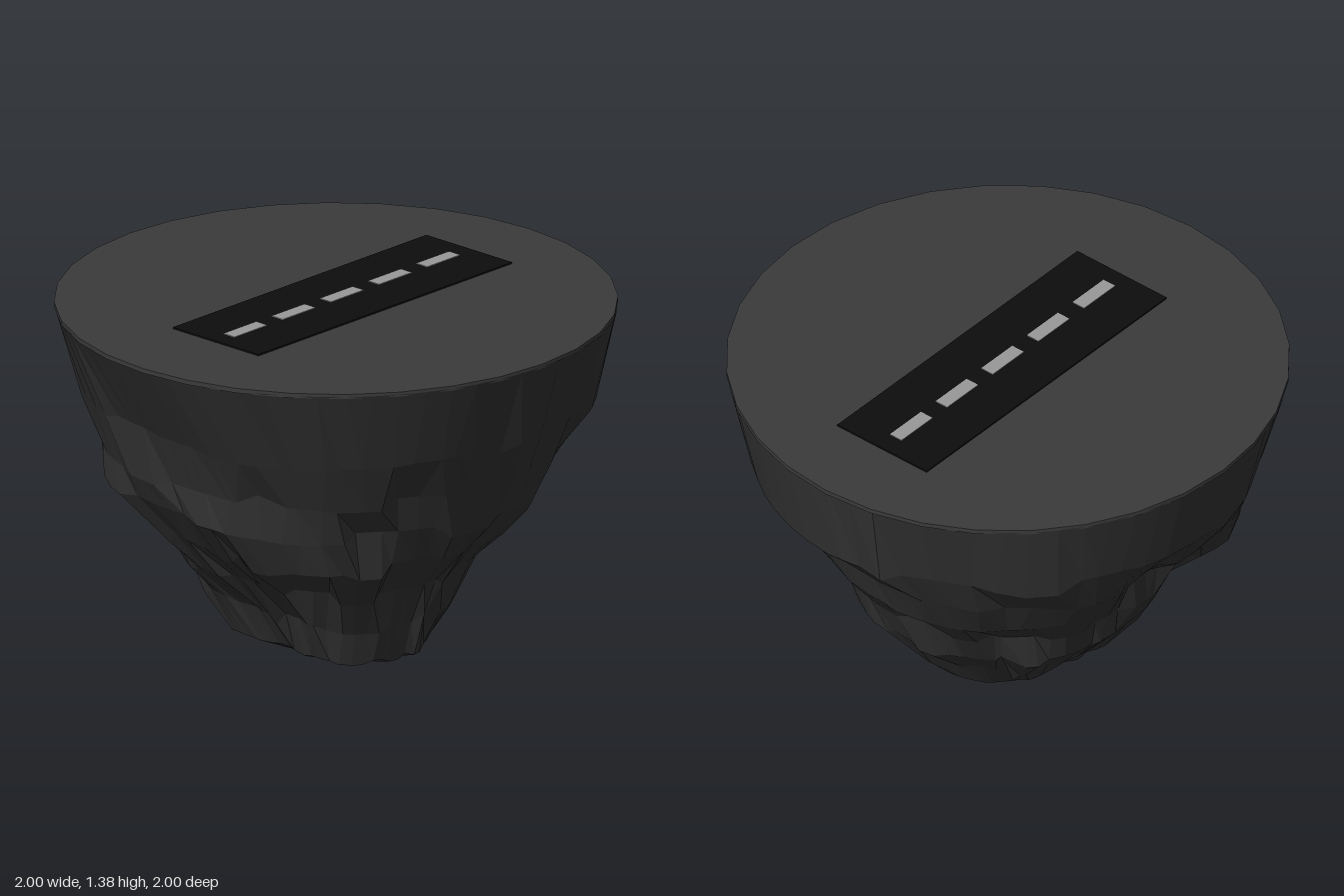
import * as THREE from 'three';

const COLUMNS = 64;
const HEIGHTS = [1.36, 1.03, 0.86, 0.71, 0.57, 0.42, 0.27, 0.13];

// Rock profiles: angle from +x towards +z, then the radius at each height
const PROFILES = [
  [0, 1, 0.9, 0.8, 0.74, 0.62, 0.49, 0.43, 0.38],
  [35, 1, 0.9, 0.77, 0.72, 0.68, 0.53, 0.46, 0.4],
  [90, 0.995, 0.82, 0.78, 0.74, 0.63, 0.51, 0.36, 0.26],
  [145, 1, 0.9, 0.86, 0.83, 0.65, 0.55, 0.46, 0.38],
  [180, 0.995, 0.945, 0.8, 0.65, 0.58, 0.53, 0.4, 0.24],
  [215, 1, 0.94, 0.84, 0.73, 0.61, 0.55, 0.4, 0.27],
  [270, 0.99, 0.93, 0.78, 0.73, 0.61, 0.56, 0.41, 0.3],
  [325, 1, 0.92, 0.84, 0.73, 0.62, 0.54, 0.43, 0.33],
];

function seeded(seed) {
  return () => {
    seed = (seed * 16807) % 2147483647;
    return seed / 2147483647;
  };
}

// Radius of a ring at any angle, blended between neighbouring profiles
function radiusAt(degrees, ring) {
  let i = PROFILES.length - 1;
  while (PROFILES[i][0] > degrees) i--;
  const a = PROFILES[i];
  const b = PROFILES[(i + 1) % PROFILES.length];
  const end = b[0] > a[0] ? b[0] : 360;
  const t = THREE.MathUtils.smoothstep(degrees, a[0], end);
  return THREE.MathUtils.lerp(a[ring + 1], b[ring + 1], t);
}

// Craggy, faceted underside that narrows to a point
function rockGeometry() {
  const random = seeded(4217);
  const points = [];
  const faces = [];
  HEIGHTS.forEach((height, ring) => {
    let dent = 0;
    let shift = 0;
    for (let c = 0; c < COLUMNS; c++) {
      // Neighbouring columns share a dent, giving broad facets and sharp cracks
      if (c % 3 === 0 || random() < 0.2) {
        dent = random() * 0.045;
        shift = (random() - 0.5) * 0.06;
      }
      const rough = ring === 0 ? 0 : ring === HEIGHTS.length - 1 ? 0.4 : 1;
      const jitter = (random() - 0.5) * 0.7 * rough;
      const degrees = (((c + jitter) * 360) / COLUMNS + 360) % 360;
      const angle = THREE.MathUtils.degToRad(degrees);
      const r = radiusAt(degrees, ring) - (dent - 0.012) * rough;
      points.push(r * Math.cos(angle), height + shift * rough, r * Math.sin(angle));
    }
  });
  const tip = points.length / 3;
  points.push(0, 0, -0.02);

  for (let ring = 0; ring < HEIGHTS.length; ring++) {
    for (let c = 0; c < COLUMNS; c++) {
      const next = (c + 1) % COLUMNS;
      const a = ring * COLUMNS + c;
      const b = ring * COLUMNS + next;
      if (ring === HEIGHTS.length - 1) {
        faces.push(a, b, tip);
      } else {
        faces.push(a, b, a + COLUMNS, b, b + COLUMNS, a + COLUMNS);
      }
    }
  }
  const indexed = new THREE.BufferGeometry();
  indexed.setAttribute('position', new THREE.Float32BufferAttribute(points, 3));
  indexed.setIndex(faces);
  const geometry = indexed.toNonIndexed();
  geometry.computeVertexNormals();
  return geometry;
}

export function createModel() {
  const model = new THREE.Group();
  model.name = 'floatingIsland';

  const material = (name, color) => {
    const m = new THREE.MeshStandardMaterial({ color });
    m.name = name;
    return m;
  };
  const rockGrey = material('rockGrey', 0x333333);
  const groundGrey = material('groundGrey', 0x3a3a3a);
  const asphalt = material('asphalt', 0x0d0d0d);
  const linePaint = material('linePaint', 0x999999);

  const add = (name, geometry, mat, x = 0, y = 0, z = 0) => {
    const mesh = new THREE.Mesh(geometry, mat);
    mesh.name = name;
    mesh.position.set(x, y, z);
    model.add(mesh);
  };

  add('rock', rockGeometry(), rockGrey);

  // Flat round ground on top of the rock
  add('ground', new THREE.CylinderGeometry(1, 1, 0.017, 32), groundGrey, 0, 1.3615, 0);

  // Road strip with a dashed centre line
  add('road', new THREE.BoxGeometry(0.415, 0.006, 1.315), asphalt, 0, 1.373, -0.033);
  for (let i = 0; i < 5; i++) {
    add('roadDash', new THREE.BoxGeometry(0.054, 0.004, 0.17), linePaint, 0, 1.377, -0.53 + i * 0.25);
  }
  return model;
}
